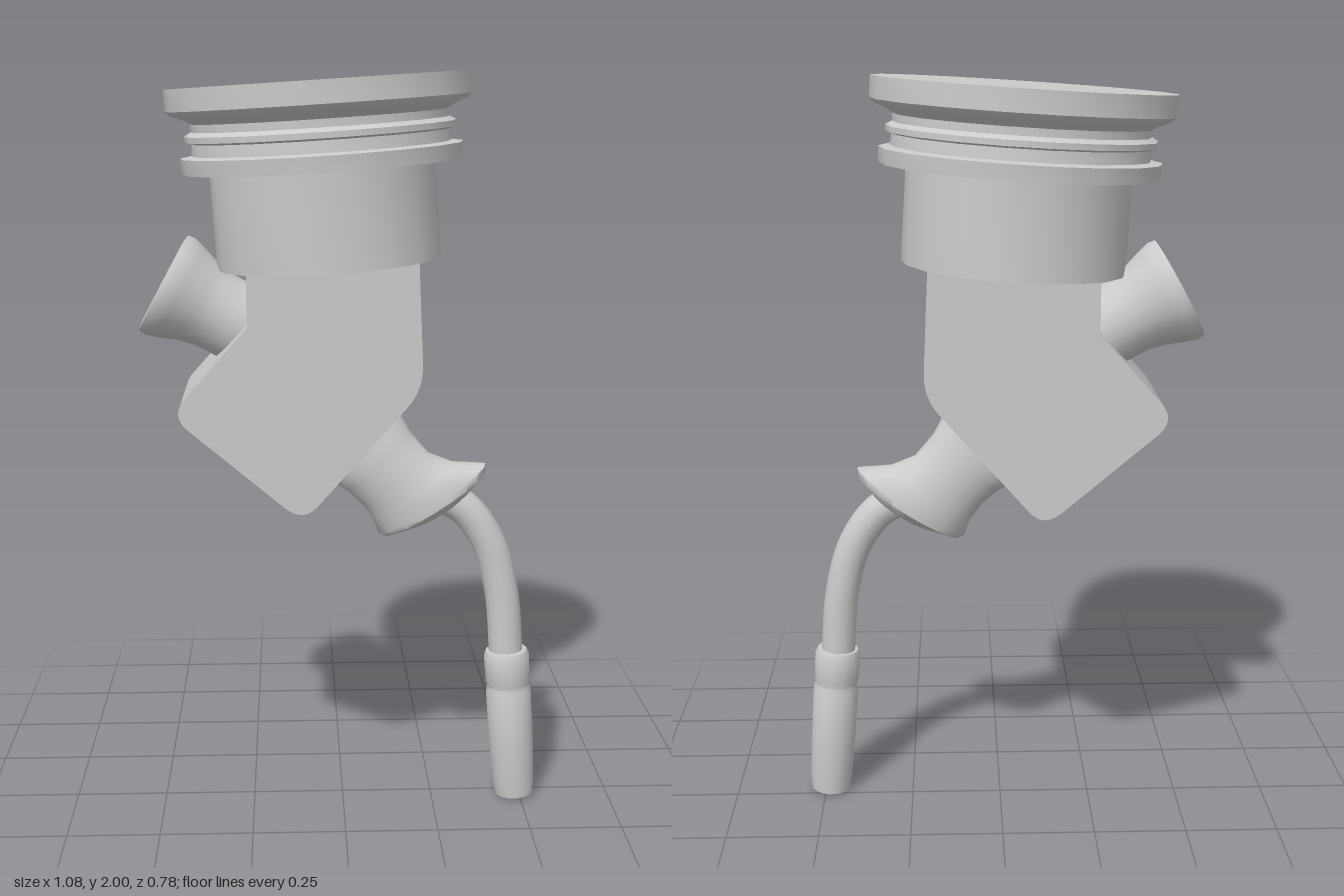
import * as THREE from 'three';
import { toCreasedNormals } from 'three/addons/utils/BufferGeometryUtils.js';

const material = new THREE.MeshStandardMaterial({ color: 0xcccccc, side: THREE.DoubleSide });
const UP = new THREE.Vector3(0, 1, 0);

function part(name, geometry, crease = 0.6) {
  const mesh = new THREE.Mesh(toCreasedNormals(geometry, crease), material);
  mesh.name = name;
  return mesh;
}

// Turned part: profile of [radius, distance], starting at base and running along dir
function turned(name, profile, base, dir, segments) {
  const points = profile.map(([r, d]) => new THREE.Vector2(r, d));
  const geometry = new THREE.LatheGeometry(points, segments).rotateY(Math.PI / 2);
  const mesh = part(name, geometry);
  mesh.position.set(...base);
  mesh.quaternion.setFromUnitVectors(UP, new THREE.Vector3(...dir).normalize());
  return mesh;
}

// Elliptical loft: each section is [topX, topY, bottomX, bottomY, halfThickness]
function loft(name, sections, z, segments) {
  const positions = [], index = [];
  for (const [px, py, qx, qy, b] of sections) {
    for (let j = 0; j < segments; j++) {
      const t = (j / segments) * Math.PI * 2, c = Math.cos(t) / 2;
      positions.push((px + qx) / 2 + (px - qx) * c, (py + qy) / 2 + (py - qy) * c, z + b * Math.sin(t));
    }
  }
  for (let i = 0; i < sections.length - 1; i++) {
    for (let j = 0; j < segments; j++) {
      const k = (j + 1) % segments;
      const a = i * segments + j, b = i * segments + k;
      index.push(a, b, a + segments, b, b + segments, a + segments);
    }
  }
  const geometry = new THREE.BufferGeometry();
  geometry.setAttribute('position', new THREE.Float32BufferAttribute(positions, 3));
  geometry.setIndex(index);
  return part(name, geometry, 0.9);
}

export function createModel() {
  const model = new THREE.Group();
  model.name = 'angledFitting';

  // Tilted round head with cap, grooves, ring and lower flange
  model.add(turned('head', [
    [0, 0], [0.295, 0], [0.295, 0.25], [0.365, 0.25], [0.368, 0.29],
    [0.338, 0.295], [0.335, 0.325], [0.352, 0.33], [0.352, 0.345], [0.335, 0.355],
    [0.335, 0.375], [0.35, 0.385], [0.385, 0.398], [0.396, 0.41], [0.396, 0.466], [0, 0.466],
  ], [-0.035, 1.51, 0], [-0.064, 0.998, 0], 18));

  // Bent block with rounded corners
  const s = new THREE.Shape();
  s.moveTo(-0.25, 1.6);
  s.lineTo(-0.25, 1.36);
  s.lineTo(-0.415, 1.175);
  s.quadraticCurveTo(-0.445, 1.135, -0.41, 1.1);
  s.lineTo(-0.155, 0.885);
  s.quadraticCurveTo(-0.11, 0.85, -0.075, 0.885);
  s.lineTo(0.16, 1.15);
  s.quadraticCurveTo(0.205, 1.2, 0.2, 1.27);
  s.lineTo(0.185, 1.6);
  s.closePath();
  const block = new THREE.ExtrudeGeometry(s, { depth: 0.36, bevelEnabled: false, curveSegments: 6 });
  model.add(part('body', block.translate(0, 0, -0.18)));

  // Hollow flared socket on the upper right side
  model.add(turned('socket', [
    [0.11, 0], [0.107, 0.09], [0.108, 0.14], [0.118, 0.185], [0.136, 0.235], [0.145, 0.265],
    [0.142, 0.285], [0.118, 0.288], [0.1, 0.26], [0.085, 0.2], [0.05, 0.16], [0, 0.15],
  ], [-0.222, 1.318, -0.008], [-0.88, 0.475, 0], 18));

  // Flattened, flared outlet below the body
  model.add(loft('outlet', [
    [0.12, 1.16, -0.09, 0.95, 0.06],
    [0.145, 1.12, -0.055, 0.925, 0.068],
    [0.18, 1.055, 0.005, 0.895, 0.074],
    [0.23, 0.995, 0.05, 0.855, 0.075],
    [0.3, 0.967, 0.083, 0.81, 0.08],
    [0.388, 0.962, 0.098, 0.768, 0.088],
    [0.388, 0.94, 0.112, 0.762, 0.088],
    [0.34, 0.88, 0.19, 0.785, 0.055],
    [0.265, 0.835, 0.265, 0.835, 0],
  ], 0.014, 20));

  // Curved pipe
  const path = new THREE.CatmullRomCurve3([
    [0.25, 0.885, 0.016], [0.335, 0.835, 0.018], [0.4, 0.74, 0.02], [0.438, 0.6, 0.023], [0.455, 0.41, 0.028],
  ].map((p) => new THREE.Vector3(...p)));
  model.add(part('pipe', new THREE.TubeGeometry(path, 24, 0.047, 14)));

  // Collar and tapered grip with a recessed end
  model.add(turned('grip', [
    [0, 0.02], [0.042, 0.015], [0.046, 0.002], [0.054, 0.006], [0.058, 0.04], [0.062, 0.15],
    [0.063, 0.315], [0.058, 0.33], [0.062, 0.345], [0.063, 0.42], [0.057, 0.433], [0.045, 0.434],
  ], [0.487, 0, 0.031], [-0.074, 0.997, -0.004], 16));

  return model;
}
